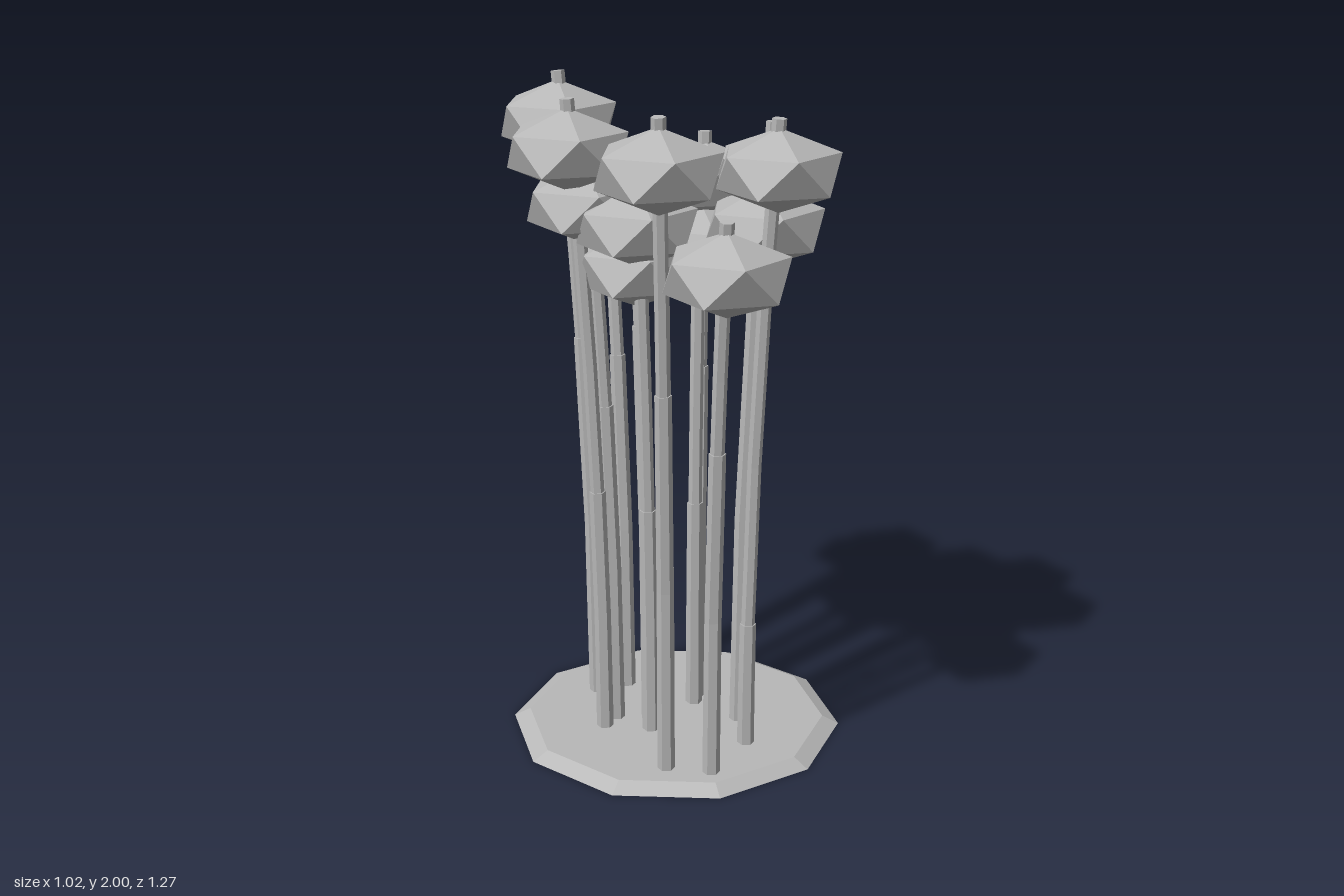
import * as THREE from 'three';

// [tip x, tip height, tip z, height of the step in the trunk]
const TREES = [
  [-0.17, 2.0, -0.4, 1.2], [0.23, 1.64, -0.47, 0.36], [-0.31, 1.97, -0.1, 0.8],
  [0.17, 1.83, -0.13, 1.12], [-0.165, 1.76, 0.03, 0.75], [0.265, 1.88, 0.08, 0.9],
  [-0.29, 1.98, 0.345, 1.2], [0.1, 1.94, 0.34, 0.42], [-0.157, 1.71, 0.47, 1.04],
  [-0.03, 1.84, -0.38, 1.13], [-0.23, 1.8, -0.14, 1.05], [0.19, 1.74, 0.15, 1.38],
  [-0.12, 1.62, -0.05, 1.3], [0.12, 1.66, -0.08, 0.7],
];
const SPREAD = 0.74; // how far the roots stand out compared with the tips

export function createModel() {
  const model = new THREE.Group();
  const grey = new THREE.MeshStandardMaterial({ color: 0xb8b8b8, flatShading: true });
  grey.name = 'grey';

  const add = (parent, geometry, name) => {
    const mesh = new THREE.Mesh(geometry, grey);
    mesh.name = name;
    parent.add(mesh);
    return mesh;
  };

  // Six-sided rod between two points
  const rod = (parent, a, b, r0, r1, name) => {
    const dir = b.clone().sub(a);
    const mesh = add(parent, new THREE.CylinderGeometry(r1, r0, dir.length(), 6), name);
    mesh.position.copy(a).add(b).multiplyScalar(0.5);
    mesh.quaternion.setFromUnitVectors(new THREE.Vector3(0, 1, 0), dir.normalize());
  };

  // Ten-sided ground plate with a sloping rim
  const ground = add(model, new THREE.CylinderGeometry(0.46, 0.51, 0.025, 10), 'ground');
  ground.rotation.y = Math.PI / 10;
  ground.position.set(0, 0.0125, -0.027);

  // Squashed icosahedron standing on a corner
  const crownShape = new THREE.IcosahedronGeometry(0.192, 0);
  crownShape.rotateX(-Math.atan((1 + Math.sqrt(5)) / 2));
  crownShape.rotateY(-Math.PI / 2);
  crownShape.scale(1, 0.61, 1);

  TREES.forEach(([x, top, z, step], i) => {
    const tree = new THREE.Group();
    tree.name = `tree${i + 1}`;
    model.add(tree);

    // The trunk leans outward more and more with height
    const at = (y) => {
      const k = SPREAD + (1 - SPREAD) * (y / top) ** 2;
      return new THREE.Vector3(x * k, y, z * k);
    };

    // Thick lower trunk in two lengths
    rod(tree, at(0.01), at(step * 0.5), 0.026, 0.025, 'lowerTrunk');
    rod(tree, at(step * 0.5 - 0.004), at(step), 0.025, 0.0245, 'lowerTrunk');

    // Thinner upper trunk, its end showing above the crown
    const parts = 3;
    for (let j = 0; j < parts; j++) {
      const y0 = step + ((top - step) * j) / parts;
      const y1 = step + ((top - step) * (j + 1)) / parts;
      rod(tree, at(y0 - 0.005), at(y1), 0.0205, 0.0205, 'upperTrunk');
    }

    const crown = add(tree, crownShape, 'crown');
    crown.position.set(x, top - 0.143, z);
  });

  return model;
}
